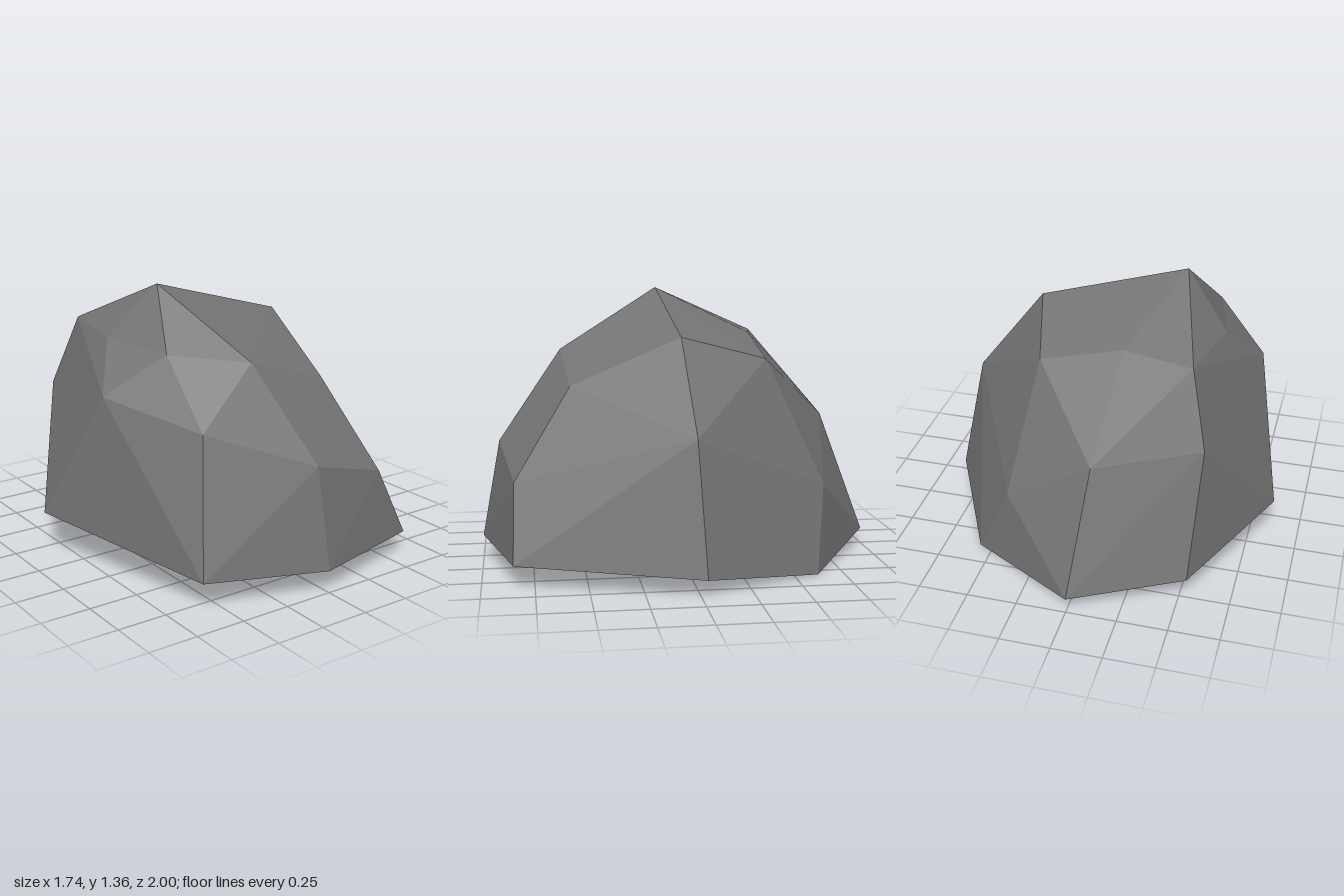
import * as THREE from 'three';

// Rings run back-left corner, back, right, front, left (clockwise from above)
const crown = [
  [-0.48, 1.12, -0.47], [-0.13, 1.13, -0.40], [0.28, 1.03, -0.41], [0.40, 1.15, 0.03],
  [0.29, 0.91, 0.56], [-0.16, 1.05, 0.59], [-0.47, 1.08, 0.35], [-0.56, 1.10, -0.04],
];
const waist = [
  [-0.57, 0.76, -0.60], [-0.07, 0.70, -0.78], [0.38, 0.41, -0.69], [0.74, 0.71, 0.00],
  [0.44, 0.47, 0.84], [-0.01, 0.60, 0.91], [-0.49, 0.78, 0.67], [-0.72, 0.88, 0.18],
];
const base = [
  [-0.54, 0.13, -0.78], [0.00, 0.08, -1.00], [0.57, 0.00, -0.62], [0.87, 0.08, -0.03],
  [0.62, 0.11, 0.85], [0.00, 0.11, 1.00], [-0.60, 0.14, 0.83], [-0.87, 0.22, -0.17],
];
const peak = [-0.34, 1.36, 0.07];
const underside = [0, 0.1, 0];

export function createModel() {
  const triangles = [];
  const vec = (p) => new THREE.Vector3(...p);

  // Splits a four-cornered facet along the diagonal that bulges outward
  const quad = (a, b, c, d) => {
    const plane = new THREE.Plane().setFromCoplanarPoints(vec(a), vec(b), vec(c));
    if (plane.distanceToPoint(vec(d)) <= 0) triangles.push(a, b, c, a, c, d);
    else triangles.push(a, b, d, b, c, d);
  };

  // Four facets meeting at the peak
  for (let i = 0; i < 8; i += 2) {
    quad(crown[i], crown[(i + 7) % 8], peak, crown[i + 1]);
  }

  // Sloping shoulders, lower sides and underside
  for (let i = 0; i < 8; i++) {
    const j = (i + 1) % 8;
    quad(crown[i], crown[j], waist[j], waist[i]);
    quad(waist[i], waist[j], base[j], base[i]);
    triangles.push(underside, base[i], base[j]);
  }

  const geometry = new THREE.BufferGeometry();
  geometry.setAttribute('position', new THREE.Float32BufferAttribute(triangles.flat(), 3));
  geometry.computeVertexNormals();

  const stone = new THREE.MeshStandardMaterial({ color: 0x757575, flatShading: true });
  stone.name = 'stone grey';
  const rock = new THREE.Mesh(geometry, stone);
  rock.name = 'rock';

  const group = new THREE.Group();
  group.name = 'boulder';
  group.add(rock);
  return group;
}
